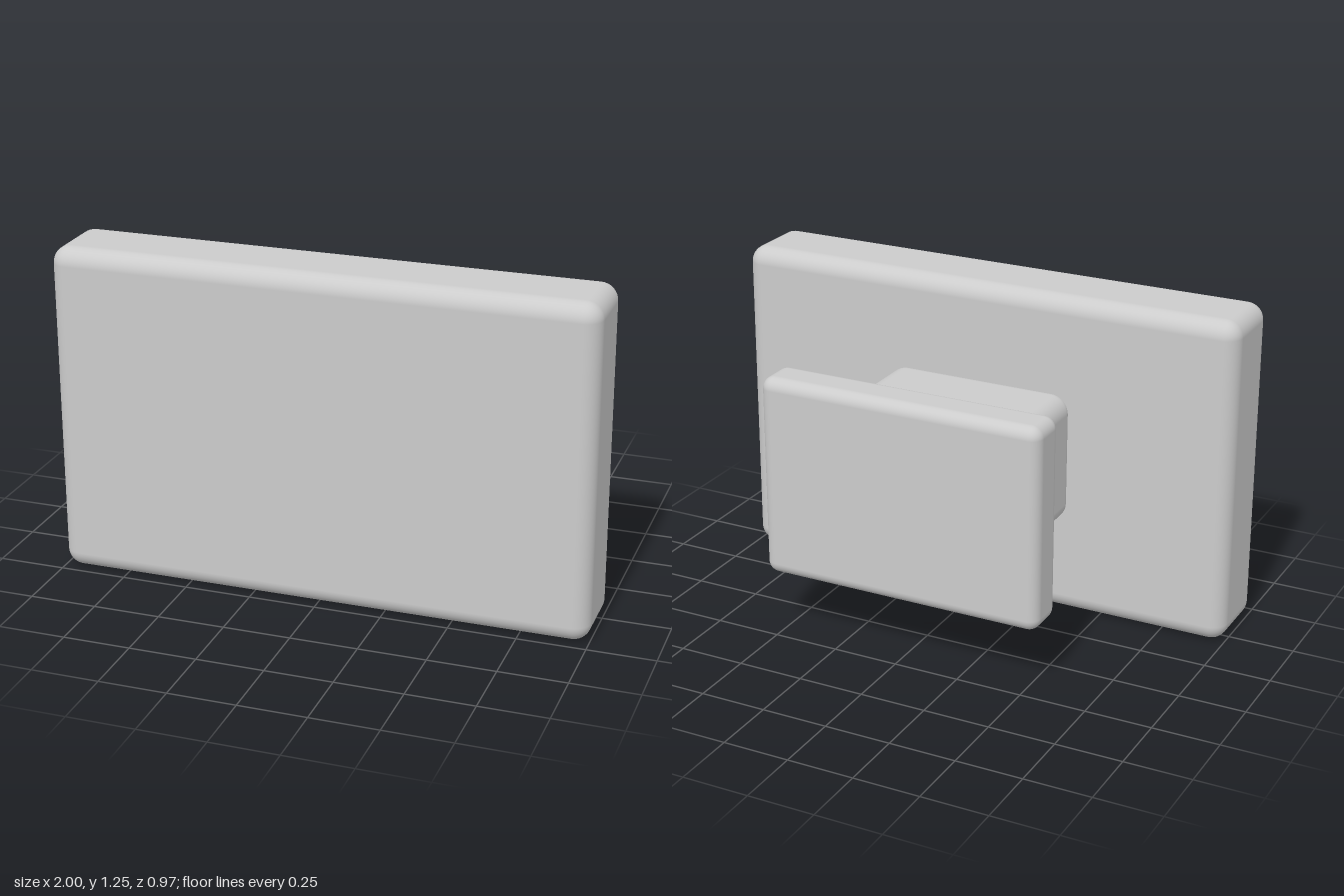
import * as THREE from 'three';
import { RoundedBoxGeometry } from 'three/addons/geometries/RoundedBoxGeometry.js';

const material = new THREE.MeshStandardMaterial({ color: 0xcccccc });

// Rounded block centred on x, spanning the given y and z ranges
function block(name, width, [y0, y1], [z0, z1], radius) {
  const geometry = new RoundedBoxGeometry(width, y1 - y0, z1 - z0, 6, radius);
  const mesh = new THREE.Mesh(geometry, material);
  mesh.name = name;
  mesh.position.set(0, (y0 + y1) / 2, (z0 + z1) / 2);
  return mesh;
}

export function createModel() {
  const model = new THREE.Group();
  model.name = 'mountedPanel';
  model.add(
    // Large front slab
    block('frontPanel', 2, [0, 1.245], [0.165, 0.486], 0.064),
    // Connecting block, its rounded ends sunk into both plates
    block('neck', 0.735, [0.376, 0.872], [-0.365, 0.22], 0.07),
    // Smaller rear plate
    block('backPlate', 1.1, [0.24, 1.008], [-0.486, -0.312], 0.045)
  );
  return model;
}
